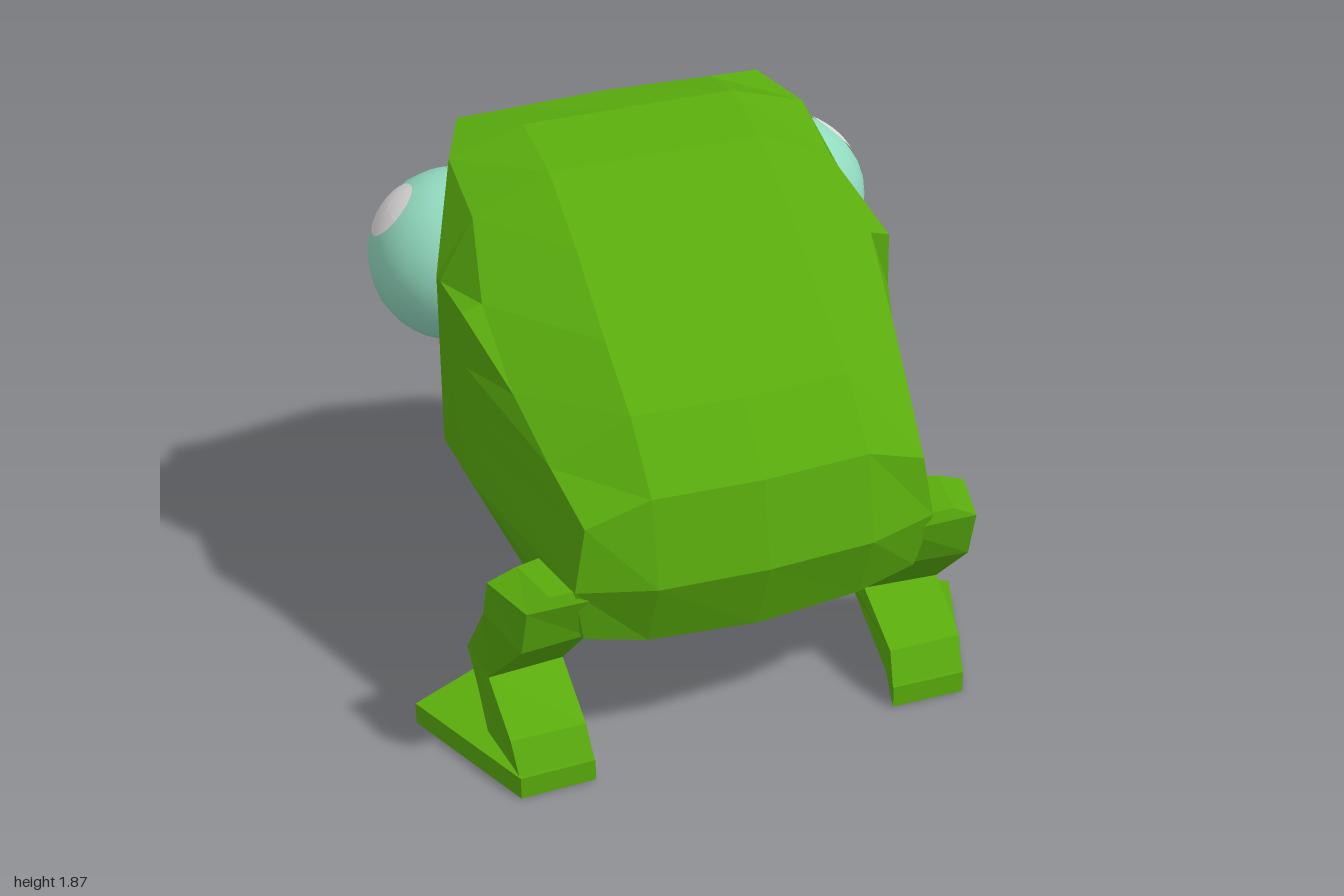
import * as THREE from 'three';

const mat = (name, color) => {
  const m = new THREE.MeshStandardMaterial({ color });
  m.name = name;
  return m;
};

// Flat-faced geometry from quads; the side sign mirrors x and flips the winding
function quads(list) {
  const pos = [];
  for (const { q, side } of list) {
    const p = q.map(([x, y, z]) => [x * side, y, z]);
    if (side < 0) p.reverse();
    for (const i of [0, 1, 2, 0, 2, 3]) pos.push(...p[i]);
  }
  const g = new THREE.BufferGeometry();
  g.setAttribute('position', new THREE.Float32BufferAttribute(pos, 3));
  g.computeVertexNormals();
  return g;
}

// Four-cornered rings joined from top to bottom, with both ends closed
function loft(rings, side) {
  const list = [{ q: rings[0], side }, { q: [...rings.at(-1)].reverse(), side }];
  for (let k = 0; k < rings.length - 1; k++)
    for (let n = 0; n < 4; n++) {
      const m = (n + 1) % 4;
      list.push({ q: [rings[k][n], rings[k + 1][n], rings[k + 1][m], rings[k][m]], side });
    }
  return quads(list);
}

// Body outline on the centre line, as [z, y], from the crown over the back and round
const CENTRE = [[-0.38, 1.87], [-0.13, 1.81], [0.12, 1.65], [0.38, 1.45], [0.62, 1.3], [0.8, 1.1],
  [0.86, 0.8], [0.76, 0.53], [0.55, 0.43], [0.2, 0.4], [-0.07, 0.4], [-0.27, 0.43],
  [-0.46, 0.52], [-0.64, 0.7], [-0.79, 1.03], [-0.86, 1.38], [-0.79, 1.65], [-0.6, 1.84]];

// Rounded shoulder of the body, as [x, y, z], matching the outline point by point
const EDGE = [[0.63, 1.79, -0.38], [0.63, 1.69, -0.14], [0.68, 1.5, 0.09], [0.66, 1.29, 0.32],
  [0.62, 1.14, 0.55], [0.58, 1.02, 0.75], [0.62, 0.8, 0.76], [0.58, 0.59, 0.72],
  [0.58, 0.56, 0.5], [0.6, 0.54, 0.2], [0.6, 0.545, -0.02], [0.6, 0.57, -0.23],
  [0.6, 0.64, -0.39], [0.6, 0.76, -0.51], [0.6, 1.08, -0.56], [0.6, 1.38, -0.6],
  [0.56, 1.62, -0.6], [0.54, 1.84, -0.57]];

// Columns run from the centre line over the shoulder to a flat panel on the flank
function bodyPoint(i, j) {
  const n = i % CENTRE.length;
  const [z, y] = CENTRE[n];
  const e = EDGE[n];
  if (j === 0) return [0, y, z];
  if (j === 1) return [0.37, y + (y < 0.6 ? 0.015 : 0), z < -0.5 ? z + 0.08 * (-z - 0.5) / 0.36 : z - (z > 0.6 ? 0.02 : 0)];
  if (j === 2) return e;
  if (j === 3) return [0.748, THREE.MathUtils.clamp(e[1], 0.86, 1.48), THREE.MathUtils.clamp(e[2], -0.18, 0.1)];
  return [0.758, 1.15, -0.04];
}

// Curved oval plate lying on a ball of radius r
function patch(dir, halfW, halfH, r) {
  const g = new THREE.RingGeometry(0.001, 1, 20, 4);
  const d = new THREE.Vector3(...dir).normalize();
  const u = new THREE.Vector3(0, 1, 0).cross(d).normalize();
  const v = d.clone().cross(u);
  const p = g.attributes.position;
  for (let i = 0; i < p.count; i++) {
    const w = new THREE.Vector3().addScaledVector(u, p.getX(i) * Math.tan(halfW / r))
      .addScaledVector(v, p.getY(i) * Math.tan(halfH / r)).add(d).setLength(r);
    p.setXYZ(i, w.x, w.y, w.z);
  }
  g.computeVertexNormals();
  return g;
}

export function createModel() {
  const model = new THREE.Group();
  model.name = 'frog';
  const skin = mat('skin green', 0x59ab0d);
  const pale = mat('belly green', 0x90dc85);
  const eyeBlue = mat('eye teal', 0x92dac0);
  const black = mat('pupil black', 0x0a0a0a);
  const white = mat('glint white', 0xe0dddd);
  const add = (parent, name, geometry, material) => {
    const mesh = new THREE.Mesh(geometry, material);
    mesh.name = name;
    parent.add(mesh);
  };

  // Body skin and pale belly, which runs from the mouth to under the rump
  const back = [], belly = [];
  for (const side of [1, -1])
    for (let i = 0; i < CENTRE.length; i++)
      for (let j = 0; j < 4; j++) {
        const q = [bodyPoint(i, j), bodyPoint(i + 1, j), bodyPoint(i + 1, j + 1), bodyPoint(i, j + 1)];
        (j < 2 && i >= 7 && i < 15 ? belly : back).push({ q, side });
      }
  add(model, 'body', quads(back), skin);
  add(model, 'belly', quads(belly), pale);

  // Leg sections: front edge, then rear edge, each as [inner x, outer x, outer z, y, inner z offset]
  const sections = [
    [[0.5, 0.74, 0.55, 0.8, -0.06], [0.5, 0.7, 0.75, 0.8, 0]],
    [[0.5, 0.84, 0.545, 0.76, -0.06], [0.5, 0.78, 0.76, 0.76, 0]],
    [[0.54, 0.85, 0.525, 0.63, -0.06], [0.56, 0.785, 0.71, 0.58, -0.02]],
    [[0.55, 0.825, 0.245, 0.31, -0.06], [0.55, 0.815, 0.44, 0.31, -0.02]],
    [[0.58, 0.82, 0.33, 0.2, -0.05], [0.55, 0.81, 0.64, 0.19, 0]],
    [[0.62, 0.82, 0.43, 0.07, -0.04], [0.54, 0.8, 0.695, 0.07, 0]],
  ];
  const legRings = sections.map(([f, r]) => [
    [f[1], f[3], f[2]], [f[0], f[3], f[2] + f[4]], [r[0], r[3], r[2] + r[4]], [r[1], r[3], r[2]]]);
  // Foot turned outwards, with a straight heel
  const sole = [[1, 0.19], [0.75, 0.07], [0.54, 0.7], [0.8, 0.705]];
  const footRings = [0.08, 0].map((y) => sole.map(([x, z]) => [x, y, z]));

  for (const side of [1, -1]) {
    const label = side > 0 ? 'left' : 'right';
    const leg = new THREE.Group();
    leg.name = label + 'Leg';
    add(leg, label + 'Shank', loft(legRings, side), skin);
    add(leg, label + 'Foot', loft(footRings, side), skin);
    model.add(leg);

    // Bulging eye with slit pupil and glint
    const eye = new THREE.Group();
    eye.name = label + 'Eye';
    eye.position.set(0.597 * side, 1.395, -0.465);
    add(eye, label + 'Eyeball', new THREE.SphereGeometry(0.294, 20, 14), eyeBlue);
    add(eye, label + 'Pupil', patch([0.137 * side, 0.008, -0.26], 0.062, 0.172, 0.297), black);
    add(eye, label + 'Glint', patch([0.2 * side, 0.184, -0.03], 0.096, 0.108, 0.297), white);
    model.add(eye);
  }
  return model;
}
